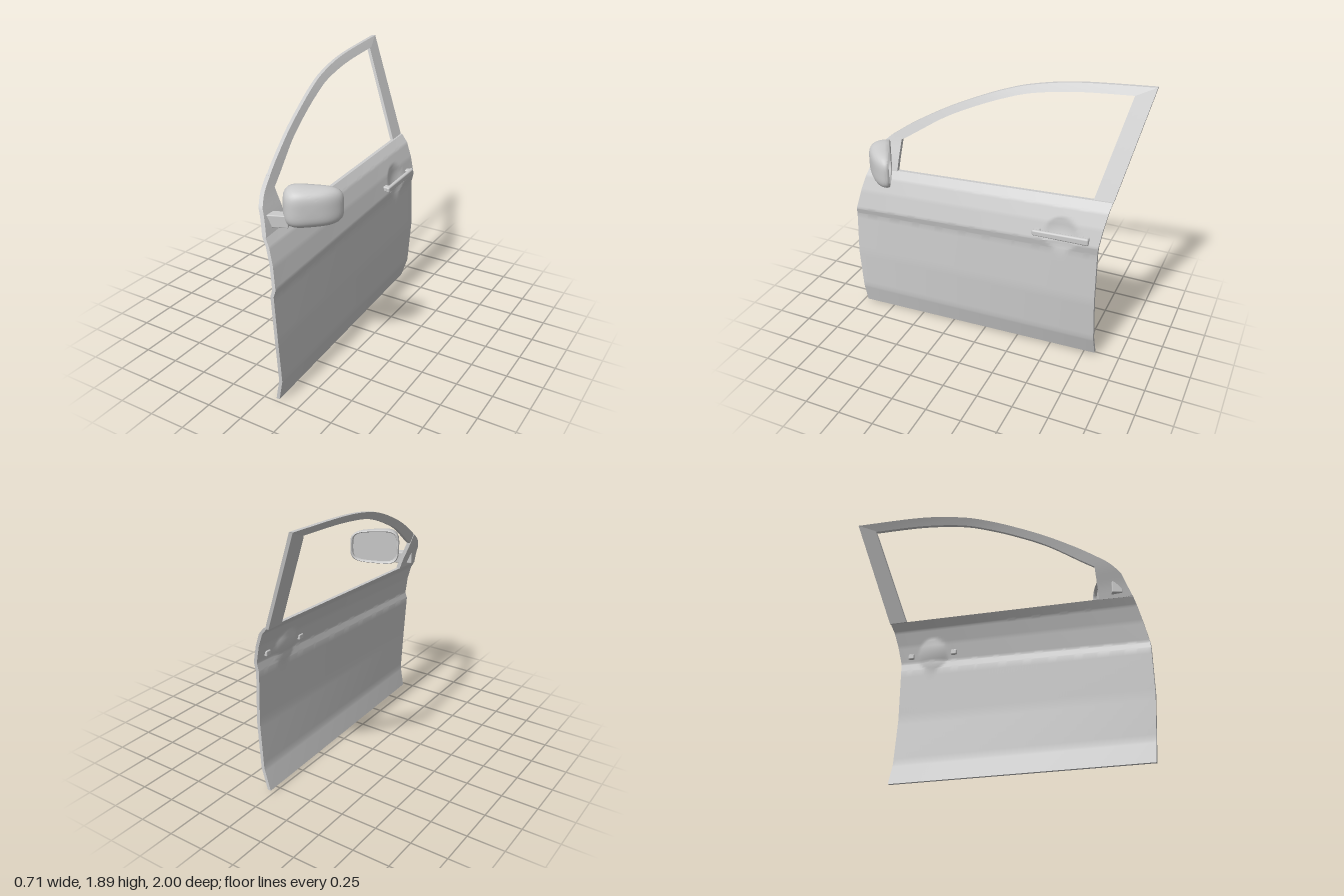
import * as THREE from 'three';
import { toCreasedNormals } from 'three/addons/utils/BufferGeometryUtils.js';
import { RoundedBoxGeometry } from 'three/addons/geometries/RoundedBoxGeometry.js';

const material = new THREE.MeshStandardMaterial({ color: 0xcccccc });
const lerp = THREE.MathUtils.lerp;

// Triangulated grid of points f(i, j); faces look along (i direction) x (j direction).
function addGrid(pos, index, f, nu, nv) {
  const base = pos.length / 3;
  for (let j = 0; j <= nv; j++) for (let i = 0; i <= nu; i++) pos.push(...f(i, j));
  for (let j = 0; j < nv; j++) {
    for (let i = 0; i < nu; i++) {
      const a = base + j * (nu + 1) + i, b = a + 1, c = b + nu + 1, d = a + nu + 1;
      index.push(a, b, c, a, c, d);
    }
  }
}

function finish(pos, index, crease) {
  const g = new THREE.BufferGeometry();
  g.setAttribute('position', new THREE.Float32BufferAttribute(pos, 3));
  g.setIndex(index);
  return toCreasedNormals(g, crease);
}

// Closed sheet: outer face f(u, v), u front to back, v upward, thickened towards -x.
function slab(f, nu, nv, thickness) {
  const pos = [], index = [];
  const out = (i, j) => f(i / nu, j / nv);
  const inn = (i, j) => { const p = out(i, j); return [p[0] - thickness, p[1], p[2]]; };
  const side = (i, j, k) => (k ? out(i, j) : inn(i, j));
  addGrid(pos, index, out, nu, nv);
  addGrid(pos, index, (i, j) => inn(nu - i, j), nu, nv);
  addGrid(pos, index, (i, k) => side(i, 0, k), nu, 1);
  addGrid(pos, index, (i, k) => side(nu - i, nv, k), nu, 1);
  addGrid(pos, index, (j, k) => side(0, nv - j, k), nv, 1);
  addGrid(pos, index, (j, k) => side(nu, j, k), nv, 1);
  return finish(pos, index, 0.6);
}

// Piecewise linear lookup in rows of numbers.
function sampleRows(rows, t) {
  const s = t * (rows.length - 1), k = Math.min(Math.floor(s), rows.length - 2);
  return rows[k].map((a, n) => lerp(a, rows[k + 1][n], s - k));
}

// Door skin rows, bottom to belt line: front y, x, z, then back y, x, z
const skinRows = [
  [0.00, 0.10, 0.975, 0.02, 0.036, -0.832],
  [0.15, 0.13, 0.98, 0.17, 0.085, -0.828],
  [0.45, 0.125, 1.0, 0.50, 0.112, -0.82],
  [0.765, 0.105, 1.0, 0.865, 0.104, -0.815],
  [0.81, 0.117, 0.995, 0.925, 0.115, -0.82],
  [0.95, 0.083, 0.965, 1.05, 0.08, -0.835],
  [1.055, 0.042, 0.94, 1.15, 0.037, -0.85],
  [1.11, 0.005, 0.925, 1.205, -0.012, -0.86],
];
const handleY = 0.958, handleZ = -0.56;

function skinPoint(u, v) {
  const [yF, xF, zF, yB, xB, zB] = sampleRows(skinRows, v);
  const y = lerp(yF, yB, u), z = lerp(zF, zB, u);
  // finger bowl behind the handle
  const r2 = ((y - handleY) ** 2 + (z - handleZ) ** 2) / 0.115 ** 2;
  return [lerp(xF, xB, u) - 0.026 * Math.max(0, 1 - r2), y, z];
}

// Inward lean of the window arch as a function of height
const leanCurve = new THREE.CatmullRomCurve3([
  [0.015, 1.1], [-0.02, 1.2], [-0.068, 1.31], [-0.14, 1.5], [-0.225, 1.7], [-0.285, 1.81], [-0.335, 1.89],
].map(([x, y]) => new THREE.Vector3(x, y, 0))).getPoints(60);
function archLean(y) {
  let k = 0;
  while (k < 59 && leanCurve[k + 1].y < y) k++;
  const a = leanCurve[k], b = leanCurve[k + 1];
  return lerp(a.x, b.x, (y - a.y) / (b.y - a.y));
}
// The rear pillar leans in a straight line
const pillarLean = (y) => lerp(-0.02, -0.335, (y - 1.195) / 0.695);

const curveZY = (pts) => new THREE.SplineCurve(pts.map(([z, y]) => new THREE.Vector2(z, y)));

// Frame sheet between a lower and an upper curve given in (z, y)
function frameSheet(lower, upper, lean, nu, nv, thickness) {
  const a = curveZY(lower), b = curveZY(upper);
  return slab((u, v) => {
    const p = a.getPoint(u).lerp(b.getPoint(u), v);
    return [lean(p.y), p.y, p.x];
  }, nu, nv, thickness);
}

// Mirror housing: rounded-rectangle rings from the glass, over the rim, to the domed front
function mirrorGeometry() {
  const U = new THREE.Vector3(0.885, 0, -0.465), N = new THREE.Vector3(0.465, 0, 0.885);
  const rings = [[0.001, 0.018], [0.5, 0.018], [0.88, 0.018], [0.9, 0], [0.95, -0.006], [0.985, 0]];
  const dome = 16;
  const point = (i, j) => {
    const th = (i / 48) * Math.PI * 2;
    const c = Math.cos(th), s = Math.sin(th);
    const k = (Math.abs(c) ** 4 + Math.abs(s) ** 4) ** -0.25;
    let scale, n, phi = 0;
    if (j < rings.length) [scale, n] = rings[j];
    else {
      phi = ((j - rings.length + 1) / dome) * Math.PI / 2;
      scale = Math.max(0.001, Math.cos(phi) ** 0.5);
    }
    const a = c * k * scale, u = 0.188 + 0.183 * a;
    if (phi) n = Math.sin(phi) ** 0.75 * (0.148 - 0.085 * (u / 0.37) ** 2);
    const y = 1.262 + s * k * scale * (0.128 - 0.011 * a);
    return [0.01 + U.x * u + N.x * n, y, 0.745 + U.z * u + N.z * n];
  };
  const pos = [], index = [];
  addGrid(pos, index, point, 48, rings.length + dome - 1);
  return finish(pos, index, 0.7);
}

export function createModel() {
  const door = new THREE.Group();
  door.name = 'carDoor';
  const add = (name, geometry, parent = door) => {
    const m = new THREE.Mesh(geometry, material);
    m.name = name;
    parent.add(m);
    return m;
  };

  add('doorSkin', slab(skinPoint, 90, 56, 0.024));

  // Window frame: arch, rear pillar and the corner plate that carries the mirror
  add('windowArch', frameSheet(
    [[0.71, 1.325], [0.62, 1.38], [0.4, 1.52], [0.2, 1.617], [0, 1.697], [-0.2, 1.757], [-0.5, 1.803], [-0.87, 1.83]],
    [[0.71, 1.40], [0.6, 1.47], [0.4, 1.58], [0.2, 1.672], [0, 1.75], [-0.2, 1.807], [-0.5, 1.855], [-0.997, 1.89]],
    archLean, 48, 3, 0.025));
  add('rearPillar', frameSheet(
    [[-0.73, 1.195], [-0.86, 1.2]], [[-0.868, 1.83], [-1, 1.89]], pillarLean, 4, 24, 0.025));
  add('mirrorCornerPlate', frameSheet(
    [[0.925, 1.105], [0.7, 1.12]], [[0.87, 1.26], [0.8, 1.335], [0.7, 1.405]], archLean, 8, 8, 0.03));

  // Wing mirror
  const mirror = new THREE.Group();
  mirror.name = 'wingMirror';
  door.add(mirror);
  add('mirrorHousing', mirrorGeometry(), mirror);
  const arm = add('mirrorArm', new RoundedBoxGeometry(0.14, 0.08, 0.07, 2, 0.006), mirror);
  arm.position.set(0.015, 1.178, 0.805);
  arm.rotation.y = 0.4;

  // Pull handle on two mounts
  const handle = new THREE.Group();
  handle.name = 'doorHandle';
  handle.position.set(0, handleY + 0.002, -0.565);
  handle.rotation.x = 0.04;
  door.add(handle);
  const grip = new RoundedBoxGeometry(0.028, 0.046, 0.39, 3, 0.012);
  const p = grip.attributes.position;
  for (let i = 0; i < p.count; i++) p.setY(i, p.getY(i) * (1 - 0.7 * p.getZ(i)));
  add('handleGrip', grip, handle).position.x = 0.13;
  for (const s of [-1, 1]) {
    add('handleMount', new RoundedBoxGeometry(0.07, 0.038, 0.045, 2, 0.008), handle)
      .position.set(0.098, 0, s * 0.168);
  }
  return door;
}
